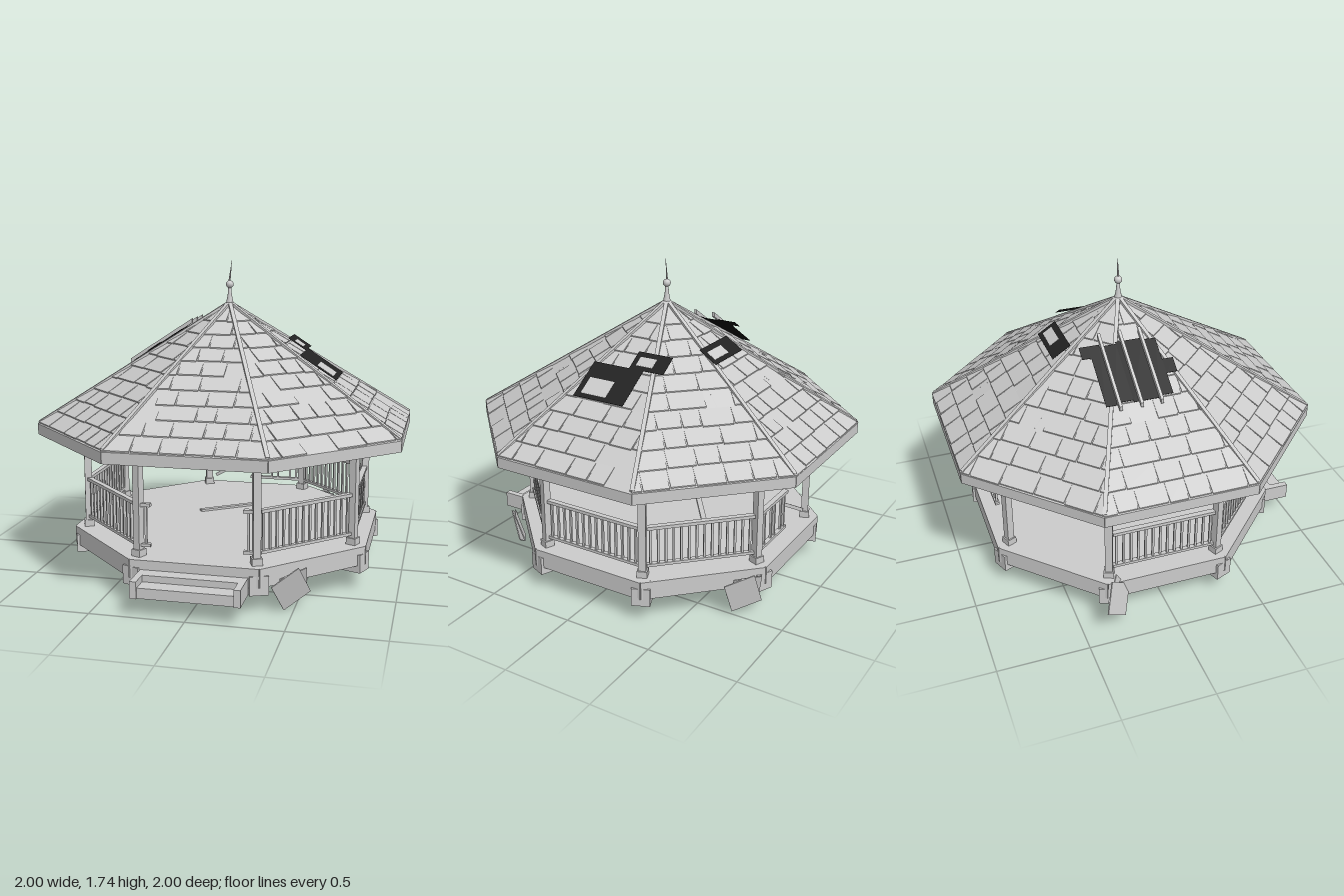
import * as THREE from 'three';
import { mergeGeometries } from 'three/addons/utils/BufferGeometryUtils.js';

const T8 = Math.tan(Math.PI / 8), C8 = Math.cos(Math.PI / 8);
const PEAK = 1.5, SLOPE = 0.65;
const UP = new THREE.Vector3(0, 1, 0);
const grey = new THREE.MeshStandardMaterial({ color: 0xcccccc, flatShading: true });
const sheet = new THREE.MeshStandardMaterial({ color: 0xcccccc, flatShading: true, side: THREE.DoubleSide });
const smooth = new THREE.MeshStandardMaterial({ color: 0xcccccc });
const dark = new THREE.MeshStandardMaterial({ color: 0x222222 });
const black = new THREE.MeshStandardMaterial({ color: 0x080808 });

let seed = 11;
const rand = () => (seed = (seed * 16807) % 2147483647) / 2147483647;

function add(parent, name, geo, mat = grey, x = 0, y = 0, z = 0) {
  const m = new THREE.Mesh(geo, mat);
  m.name = name;
  m.position.set(x, y, z);
  parent.add(m);
  return m;
}
const box = (parent, name, w, h, d, x, y, z) => add(parent, name, new THREE.BoxGeometry(w, h, d), grey, x, y, z);

// Straight timber between two points, in the parent's own frame
function bar(parent, name, a, b, w, h) {
  const p = new THREE.Vector3(...a), q = new THREE.Vector3(...b);
  const m = add(parent, name, new THREE.BoxGeometry(w, h, p.distanceTo(q)));
  m.position.copy(p).lerp(q, 0.5);
  m.quaternion.setFromRotationMatrix(new THREE.Matrix4().lookAt(q, p, UP));
}

// Block lying on the roof slope: u across the face, r out from the centre, lift above the slope
function slab(u0, u1, r0, r1, inner, outer, thick, clip = false) {
  const g = new THREE.BoxGeometry(1, 1, 1), p = g.attributes.position;
  for (let i = 0; i < p.count; i++) {
    const isOuter = p.getZ(i) > 0, r = isOuter ? r1 : r0;
    let u = p.getX(i) > 0 ? u1 : u0;
    if (clip) u = THREE.MathUtils.clamp(u, -r * T8, r * T8);
    const lift = (isOuter ? outer : inner) + (p.getY(i) > 0 ? thick : 0);
    p.setXYZ(i, u, PEAK - SLOPE * r + lift, r);
  }
  g.computeVertexNormals();
  return g;
}

// Courses of uneven shingles on one roof face
function shingles() {
  const parts = [], rows = 10, step = 0.095;
  for (let i = 0; i < rows; i++) {
    const r1 = 1 - i * step, r0 = Math.max(0.03, r1 - step), half = r1 * T8;
    let u = -half - rand() * 0.1;
    while (u < half) {
      const w = 0.1 + rand() * 0.11, a = Math.max(u, -half), b = Math.min(u + w - 0.007, half);
      if (b - a > 0.015 && rand() > 0.05) {
        parts.push(slab(a, b, r0, r1 - rand() * 0.006, -0.004, 0.001 + rand() * 0.003, 0.006, true));
      }
      u += w;
    }
  }
  return mergeGeometries(parts);
}

// Rail with balusters along a face, from u0 to u1
function railing(parent, u0, u1, skip = []) {
  const g = new THREE.Group(), mid = (u0 + u1) / 2, len = u1 - u0;
  g.name = 'railing';
  parent.add(g);
  box(g, 'topRail', len, 0.018, 0.03, mid, 0.525, 0.75);
  box(g, 'bottomRail', len, 0.016, 0.025, mid, 0.31, 0.75);
  const n = Math.max(1, Math.round(len / 0.042));
  for (let i = 0; i < n; i++) {
    if (!skip.includes(i)) box(g, 'baluster', 0.012, 0.21, 0.012, u0 + (i + 0.5) * len / n, 0.417, 0.75);
  }
}

// Broken sheets leaning by the deck edge
function debris(parent, u, y, z, lean, turn, roll) {
  const g = new THREE.Group();
  g.name = 'debris';
  g.position.set(u, y, z);
  g.rotation.set(lean, turn, 0, 'YXZ');
  parent.add(g);
  box(g, 'brokenSheet', 0.17, 0.18, 0.006, 0, 0, 0).rotation.z = roll;
  box(g, 'brokenSheet', 0.16, 0.16, 0.006, 0.02, 0.01, -0.015).rotation.set(0.06, 0.08, roll - 0.35);
}

export function createModel() {
  const root = new THREE.Group();
  root.name = 'gazebo';
  const faces = [];

  // Deck floor and roof shell
  const floor = add(root, 'deckFloor', new THREE.CylinderGeometry(0.81 / C8, 0.81 / C8, 0.04, 8), grey, 0, 0.23, 0);
  floor.rotation.y = Math.PI / 8;
  const shell = add(root, 'roofShell', new THREE.ConeGeometry(1 / C8, SLOPE, 8, 1, true), sheet, 0, PEAK - SLOPE / 2, 0);
  shell.rotation.y = Math.PI / 8;

  for (let k = 0; k < 8; k++) {
    const f = new THREE.Group();
    f.name = 'side';
    f.rotation.y = k * Math.PI / 4;
    root.add(f);
    faces.push(f);

    box(f, 'deckRim', 0.675, 0.1, 0.03, 0, 0.2, 0.808);
    box(f, 'fascia', 0.824, 0.06, 0.012, 0, 0.82, 0.993);
    box(f, 'lintel', 0.62, 0.08, 0.04, 0, 0.84, 0.75);
    add(f, 'shingles', shingles());

    // Rafters fanning out from the peak to the lintel
    for (const u of [-0.15, 0, 0.15]) {
      bar(f, 'rafter', [u * 0.08, PEAK - SLOPE * 0.06 - 0.015, 0.06], [u, PEAK - SLOPE * 0.76 - 0.015, 0.76], 0.016, 0.024);
    }

    // Corner post, footing, hip rafter and ridge cap
    const c = new THREE.Group();
    c.name = 'corner';
    c.rotation.y = (k + 0.5) * Math.PI / 4;
    root.add(c);
    const R = 0.75 / C8, s = SLOPE * C8;
    box(c, 'post', 0.04, 0.68, 0.04, 0, 0.57, R);
    box(c, 'postBase', 0.055, 0.037, 0.055, 0, 0.268, R);
    box(c, 'footing', 0.1, 0.1, 0.11, 0, 0.16, 0.83);
    bar(c, 'hipRafter', [0, PEAK - 0.04, 0.02], [0, PEAK - s * 0.84 - 0.03, 0.84], 0.025, 0.04);
    bar(c, 'hipCap', [0, PEAK + 0.005, 0.01], [0, PEAK - s * 1.07 + 0.002, 1.07], 0.022, 0.014);
  }

  // Railings: open entrance in front, one side lost, the back one broken
  for (const k of [1, 2, 3, 6, 7]) railing(faces[k], -0.29, 0.29);
  railing(faces[4], -0.29, 0.03, [2, 5]);
  for (const s of [-1, 1]) railing(faces[0], s * 0.27 - 0.025, s * 0.27 + 0.025);
  bar(root, 'fallenRail', [-0.26, 0.31, -0.75], [-0.05, 0.43, -0.72], 0.02, 0.02);
  bar(root, 'looseBoard', [0.09, 0.256, -0.31], [-0.2, 0.256, -0.1], 0.03, 0.012);

  // Entrance step between two cheeks
  const step = new THREE.Group();
  step.name = 'entranceStep';
  root.add(step);
  box(step, 'tread', 0.5, 0.055, 0.17, 0, 0.1375, 0.905);
  box(step, 'upperTread', 0.5, 0.04, 0.08, 0, 0.18, 0.86);
  for (const s of [-1, 1]) box(step, 'cheek', 0.035, 0.09, 0.18, s * 0.265, 0.155, 0.91);

  // Roof holes and patches: side, u0, u1, r0, r1, then the pale inset
  const patches = [
    [2, -0.19, 0.12, 0.43, 0.63, -0.155, 0, 0.52, 0.61],
    [2, 0.03, 0.24, 0.33, 0.43, 0.06, 0.16, 0.36, 0.41],
    [4, -0.18, 0.12, 0.31, 0.41, -0.15, 0, 0.34, 0.39],
  ];
  for (const [k, a, b, c, d, e, f, g, h] of patches) {
    add(faces[k], 'roofHole', slab(a, b, c, d, 0.024, 0.024, 0.001), dark);
    add(faces[k], 'holeInset', slab(e, f, g, h, 0.027, 0.027, 0.001));
  }
  const ragged = [[-0.25, -0.19, 0.24, 0.54], [-0.19, -0.1, 0.25, 0.53], [-0.1, 0.05, 0.24, 0.54],
    [0.05, 0.12, 0.25, 0.53], [-0.3, -0.25, 0.24, 0.3], [0.12, 0.18, 0.36, 0.43]];
  for (const [a, b, c, d] of ragged) add(faces[6], 'raggedHole', slab(a, b, c, d, 0.024, 0.024, 0.001), black);
  for (const u of [-0.18, -0.065, 0.045]) {
    add(faces[6], 'exposedBatten', slab(u - 0.008, u + 0.008, 0.205, 0.57, 0.026, 0.026, 0.025));
  }

  // Finial with a bent spike
  const profile = [[0.024, 1.49], [0.018, 1.52], [0.012, 1.55], [0.009, 1.59], [0, 1.6]];
  add(root, 'finialBase', new THREE.LatheGeometry(profile.map(p => new THREE.Vector2(...p)), 12), smooth);
  add(root, 'finialBall', new THREE.SphereGeometry(0.022, 14, 10), smooth, 0, 1.608, 0);
  const spike = add(root, 'finialSpike', new THREE.ConeGeometry(0.006, 0.13, 6), grey, 0.006, 1.69, 0);
  spike.rotation.z = -0.12;

  // Rubble against the deck
  debris(faces[1], -0.18, 0.13, 0.87, 0.25, -0.1, 0.55);
  debris(faces[3], 0.2, 0.14, 0.87, 0.15, 0, 0.3);
  debris(faces[6], -0.3, 0.19, 0.88, -0.25, 0.75, 0.9);
  return root;
}
